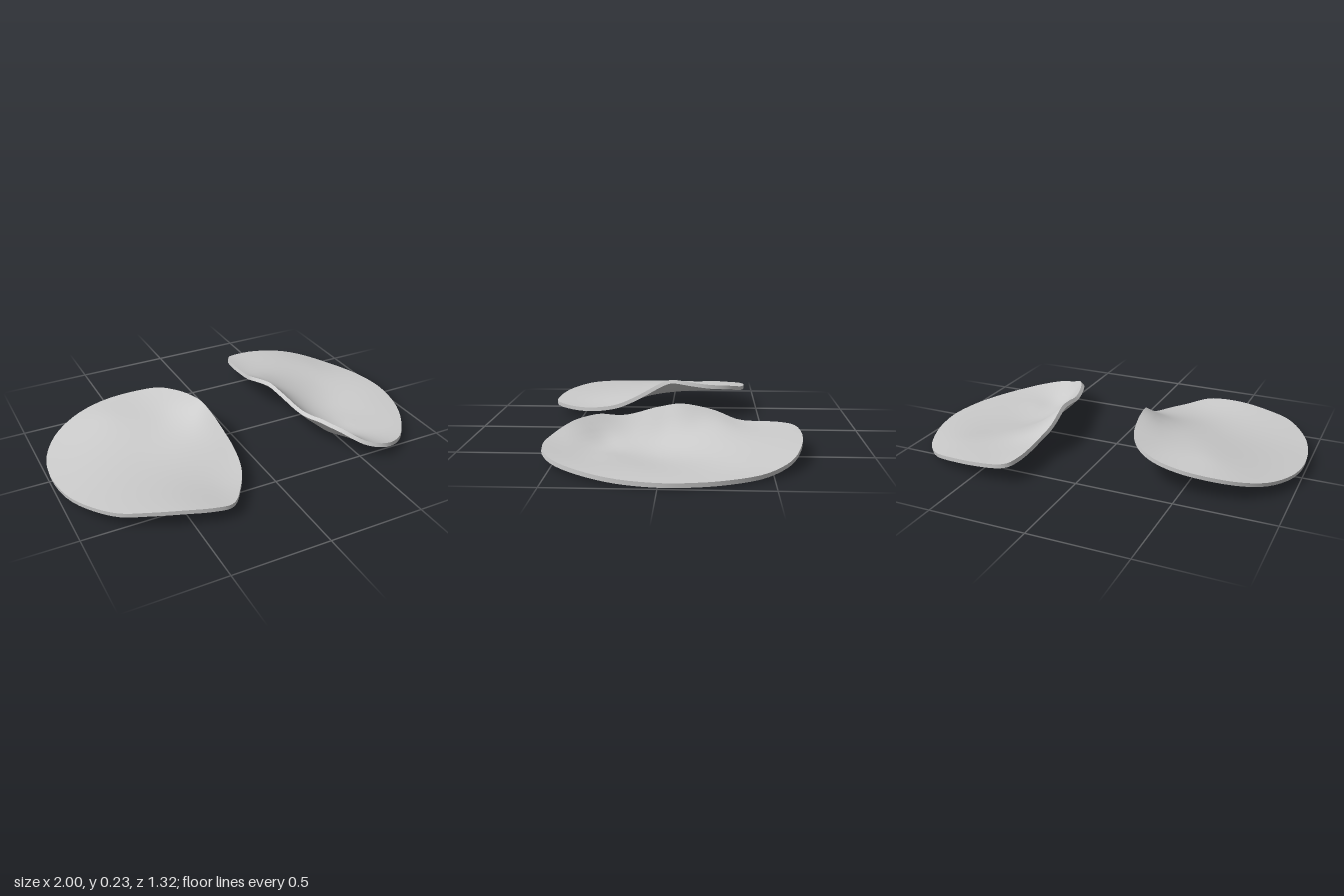
import * as THREE from 'three';
import { toCreasedNormals } from 'three/addons/utils/BufferGeometryUtils.js';

const SEGMENTS = 88, RINGS = 14, THICKNESS = 0.021;

// Solves a square linear system by elimination with row pivoting
function solve(rows) {
  const n = rows.length;
  for (let i = 0; i < n; i++) {
    let best = i;
    for (let k = i + 1; k < n; k++) if (Math.abs(rows[k][i]) > Math.abs(rows[best][i])) best = k;
    [rows[i], rows[best]] = [rows[best], rows[i]];
    for (let k = 0; k < n; k++) {
      if (k === i) continue;
      const f = rows[k][i] / rows[i][i];
      for (let j = i; j <= n; j++) rows[k][j] -= f * rows[i][j];
    }
  }
  return rows.map((row, i) => row[n] / row[i]);
}

// Thin-plate surface through the [x, y, z] points: returns the height y at (x, z)
function heightField(points) {
  const kernel = (dx, dz) => {
    const d = dx * dx + dz * dz;
    return d > 0 ? d * Math.log(d) : 0;
  };
  const terms = (x, z) => [...points.map((p) => kernel(x - p[0], z - p[2])), 1, x, z];
  const rows = points.map(([x, y, z]) => [...terms(x, z), y]);
  for (const side of [() => 1, (p) => p[0], (p) => p[2]]) {
    rows.push([...points.map(side), 0, 0, 0, 0]);
  }
  const weights = solve(rows);
  return (x, z) => terms(x, z).reduce((sum, t, i) => sum + t * weights[i], 0);
}

// Curved plate: rings of vertices from a centre out to the rim, given thickness
function plateGeometry([cx, cz], rim, inner) {
  const edge = new THREE.CatmullRomCurve3(rim.map(([x, , z]) => new THREE.Vector3(x, 0, z)), true);
  const height = heightField([...rim, ...inner]);
  const id = (r, s) => (r === 0 ? 0 : 1 + (r - 1) * SEGMENTS + (s % SEGMENTS));
  const pos = [cx, height(cx, cz), cz];
  for (let r = 1; r <= RINGS; r++) {
    for (let s = 0; s < SEGMENTS; s++) {
      const e = edge.getPoint(s / SEGMENTS);
      const x = cx + ((e.x - cx) * r) / RINGS, z = cz + ((e.z - cz) * r) / RINGS;
      pos.push(x, height(x, z), z);
    }
  }
  const top = [];
  for (let s = 0; s < SEGMENTS; s++) {
    top.push(0, id(1, s), id(1, s + 1));
    for (let r = 1; r < RINGS; r++) {
      const a = id(r, s), b = id(r + 1, s), c = id(r + 1, s + 1), d = id(r, s + 1);
      top.push(a, b, c, a, c, d);
    }
  }

  // Lower surface: the upper one pushed back along its normals
  const sheet = new THREE.BufferGeometry();
  sheet.setAttribute('position', new THREE.Float32BufferAttribute(pos, 3));
  sheet.setIndex(top);
  sheet.computeVertexNormals();
  const n = sheet.attributes.normal.array;
  const count = pos.length / 3;
  const all = pos.concat(pos.map((v, i) => v - n[i] * THICKNESS));
  const index = [...top];
  for (let i = 0; i < top.length; i += 3) {
    index.push(top[i] + count, top[i + 2] + count, top[i + 1] + count);
  }

  // Band around the rim
  for (let s = 0; s < SEGMENTS; s++) {
    const a = id(RINGS, s), b = id(RINGS, s + 1);
    index.push(a, a + count, b + count, a, b + count, b);
  }
  const solid = new THREE.BufferGeometry();
  solid.setAttribute('position', new THREE.Float32BufferAttribute(all, 3));
  solid.setIndex(index);
  return toCreasedNormals(solid, 0.7);
}

// Broad plate with a raised inner corner
const BROAD_RIM = [
  [-0.12, 0.11, 0.28], [-0.132, 0.175, 0.14], [-0.16, 0.24, 0.0], [-0.168, 0.228, -0.1],
  [-0.195, 0.207, -0.22], [-0.27, 0.188, -0.34], [-0.37, 0.165, -0.4], [-0.55, 0.142, -0.425],
  [-0.74, 0.115, -0.38], [-0.88, 0.088, -0.28], [-0.97, 0.073, -0.13], [-1.0, 0.07, 0.02],
  [-0.985, 0.072, 0.2], [-0.935, 0.082, 0.34], [-0.82, 0.094, 0.495], [-0.69, 0.1, 0.565],
  [-0.53, 0.1, 0.625], [-0.4, 0.09, 0.655], [-0.31, 0.08, 0.65], [-0.21, 0.073, 0.53],
  [-0.15, 0.082, 0.42],
];
const BROAD_INNER = [
  [-0.23, 0.195, 0.0], [-0.22, 0.15, 0.15], [-0.2, 0.105, 0.28], [-0.32, 0.168, -0.1],
  [-0.36, 0.12, 0.18], [-0.32, 0.088, 0.35], [-0.3, 0.074, 0.5], [-0.55, 0.11, 0.15],
  [-0.6, 0.148, -0.25], [-0.48, 0.146, -0.08], [-0.8, 0.1, 0.0], [-0.62, 0.096, 0.4],
];

// Narrow plate with a curled inner edge
const NARROW_RIM = [
  [1.0, 0.033, -0.02], [0.99, 0.033, -0.15], [0.957, 0.033, -0.28], [0.87, 0.038, -0.46],
  [0.76, 0.06, -0.575], [0.64, 0.083, -0.63], [0.45, 0.103, -0.66], [0.31, 0.113, -0.635],
  [0.28, 0.12, -0.56], [0.28, 0.13, -0.36], [0.262, 0.17, -0.25], [0.285, 0.21, -0.07],
  [0.305, 0.19, 0.06], [0.335, 0.16, 0.2], [0.365, 0.172, 0.32], [0.425, 0.155, 0.43],
  [0.51, 0.11, 0.52], [0.62, 0.083, 0.555], [0.74, 0.06, 0.505], [0.86, 0.044, 0.37],
  [0.96, 0.035, 0.18],
];
const NARROW_INNER = [
  [0.36, 0.125, -0.3], [0.36, 0.135, -0.15], [0.37, 0.125, 0.0], [0.4, 0.095, 0.17],
  [0.43, 0.09, 0.3], [0.44, 0.07, 0.05], [0.48, 0.052, 0.2], [0.54, 0.05, 0.35],
  [0.6, 0.028, 0.03], [0.62, 0.038, 0.25], [0.62, 0.056, 0.44], [0.5, 0.075, -0.17],
  [0.68, 0.045, -0.2], [0.8, 0.035, 0.1], [0.55, 0.086, -0.42], [0.76, 0.04, 0.3],
  [0.75, 0.06, -0.4],
];

export function createModel() {
  const group = new THREE.Group();
  const material = new THREE.MeshStandardMaterial({ color: 0xcccccc });
  const plates = [
    ['broadPlate', [-0.56, 0.1], BROAD_RIM, BROAD_INNER],
    ['narrowPlate', [0.63, 0.0], NARROW_RIM, NARROW_INNER],
  ];
  for (const [name, center, rim, inner] of plates) {
    const mesh = new THREE.Mesh(plateGeometry(center, rim, inner), material);
    mesh.name = name;
    group.add(mesh);
  }
  return group;
}
